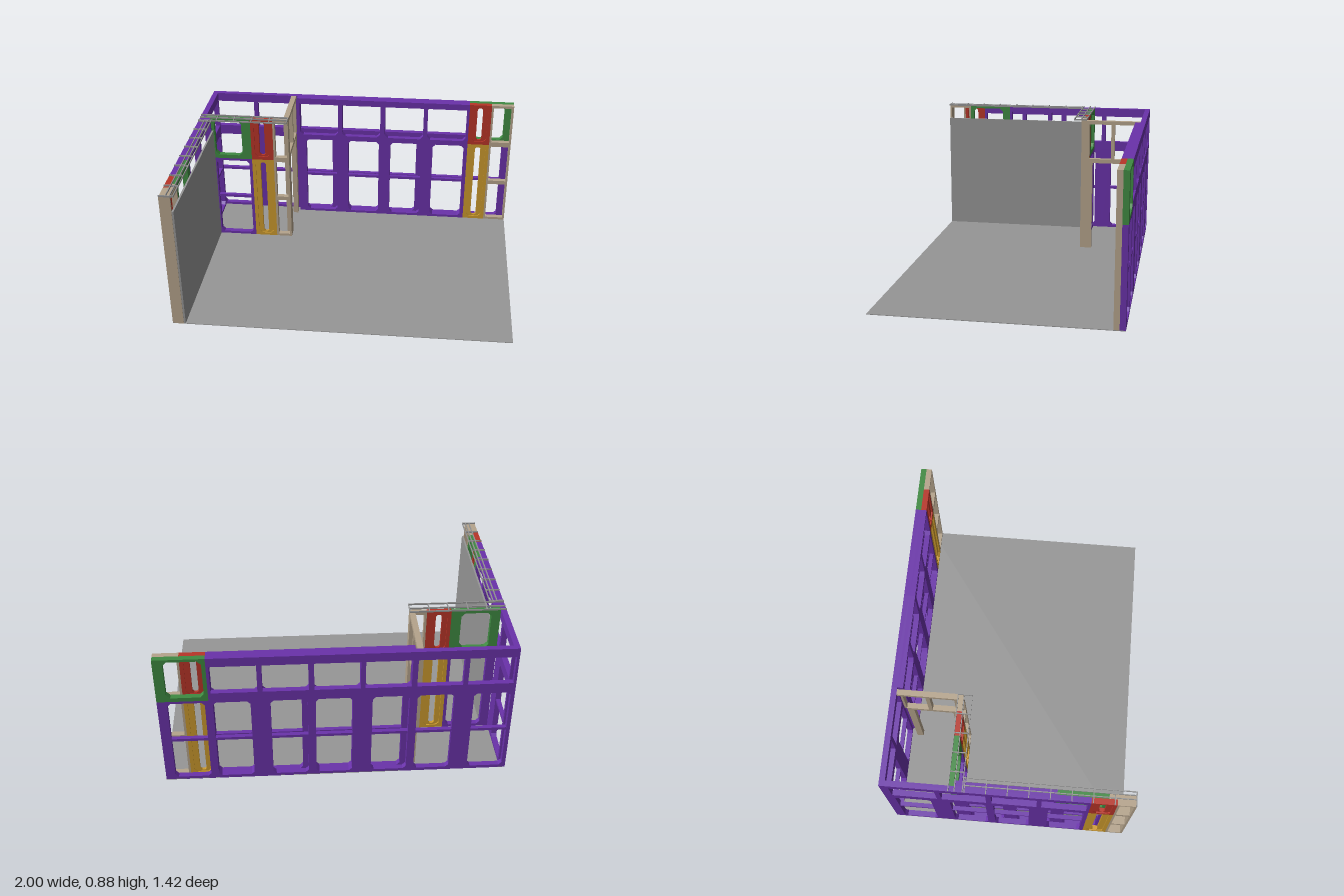
import * as THREE from 'three';

const H = 0.866, M = 0.58, T = 0.033, BAY = 2 / 7, HALF = BAY / 2;

const mat = (name, color) => {
  const m = new THREE.MeshStandardMaterial({ color });
  m.name = name;
  return m;
};

export function createModel() {
  const purple = mat('purple', 0x6a32aa), green = mat('green', 0x3f8a42), red = mat('red', 0xb83528);
  const yellow = mat('yellow', 0xcc9a2e), tan = mat('tan', 0xb5a48c), grey = mat('grey', 0x969696);
  const model = new THREE.Group();
  model.name = 'framedRoom';

  const box = (parent, name, m, x0, x1, y0, y1, z0, z1) => {
    const mesh = new THREE.Mesh(new THREE.BoxGeometry(x1 - x0, y1 - y0, z1 - z0), m);
    mesh.position.set((x0 + x1) / 2, (y0 + y1) / 2, (z0 + z1) / 2);
    mesh.name = name;
    parent.add(mesh);
  };

  // Rectangle with cut corners, as a shape or a hole
  const outline = (Type, x0, x1, y0, y1, c = 0) => {
    const pts = c
      ? [[x0 + c, y0], [x1 - c, y0], [x1, y0 + c], [x1, y1 - c], [x1 - c, y1], [x0 + c, y1], [x0, y1 - c], [x0, y0 + c]]
      : [[x0, y0], [x1, y0], [x1, y1], [x0, y1]];
    return new Type(pts.map(p => new THREE.Vector2(...p)));
  };

  // Plate spanning x0..x1, y0..y1; holes are [x0, x1, y0, y1, corner], x relative to the plate
  const plate = (parent, name, m, x0, x1, y0, y1, holes, z = 0, depth = T) => {
    const s = outline(THREE.Shape, x0, x1, y0, y1);
    for (const [a, b, c, d, r] of holes) s.holes.push(outline(THREE.Path, x0 + a, x0 + b, c, d, r));
    const mesh = new THREE.Mesh(new THREE.ExtrudeGeometry(s, { depth, bevelEnabled: false }), m);
    mesh.position.z = z;
    mesh.name = name;
    parent.add(mesh);
  };

  // Lower cassette, one bay wide, with a tall opening and a cross bar
  const lowerBay = (p, x, a = 0.055, b = 0.263, w = BAY) => {
    plate(p, 'lowerPanel', purple, x, x + w, 0, M, [[a, b, 0.02, 0.565, 0.018]]);
    box(p, 'lowerCrossBar', purple, x + a, x + b, 0.288, 0.305, 0.004, T - 0.004);
  };

  // Upper cassette, two bays wide, with paired openings
  const upperPair = (p, x, outer) => {
    const [y0, y1, r] = outer ? [0.63, 0.81, 0] : [0.6, 0.85, 0.022];
    plate(p, 'upperPanel', purple, x, x + 2 * BAY, M, H,
      [[0.015, 0.272, y0, y1, r], [0.299, 0.556, y0, y1, r]]);
  };

  const upperSingle = (p, x, a, b, w = BAY) =>
    plate(p, 'upperEndPanel', green, x, x + w, M, H, [[a, b, 0.605, 0.85, 0.022]]);

  // Half-width infill: narrow slot with a recess on both faces
  const halfBay = (p, x) => {
    for (const [name, m, y0, y1] of [['lowerInfill', yellow, 0, M], ['upperInfill', red, M, H]]) {
      const wide = [[0.022, 0.121, y0 + 0.022, y1 - 0.018, 0.02]];
      const slot = [[0.052, 0.088, y0 + 0.03, y1 - 0.025, 0.01]];
      plate(p, name + 'Rim', m, x, x + HALF, y0, y1, wide, 0, 0.008);
      plate(p, name, m, x, x + HALF, y0, y1, slot, 0.008, T - 0.016);
      plate(p, name + 'Rim', m, x, x + HALF, y0, y1, wide, T - 0.008, 0.008);
    }
  };

  // Timber stud frame with three openings
  const studFrame = (p, x0, x1) => {
    const w = x1 - x0, e = 0.013;
    plate(p, 'studFrame', tan, x0, x1, 0, H,
      [[e, w - e, 0.02, 0.283], [e, w - e, 0.309, 0.568], [e, w - e, 0.6, 0.85]]);
  };

  const layer = (name, x, z, turned) => {
    const g = new THREE.Group();
    g.name = name;
    g.position.set(x, 0, z);
    if (turned) g.rotation.y = -Math.PI / 2; // local x runs along world z
    model.add(g);
    return g;
  };

  // Outer layers mirror the openings of neighbouring bays
  const outerBays = (p, start, count) => {
    for (let i = 0; i < count; i++) {
      if (i % 2) lowerBay(p, start + i * BAY);
      else lowerBay(p, start + i * BAY, 0.022, 0.23);
    }
    for (let i = 0; i + 1 < count; i += 2) upperPair(p, start + i * BAY, true);
  };

  // Floor
  box(model, 'floor', grey, -1, 1, 0, 0.004, -0.712, 0.712);

  // Back wall
  const backOuter = layer('backWallOuter', 0, -0.712);
  outerBays(backOuter, -1, 7);
  upperSingle(backOuter, 1 - BAY, 0.022, 0.23);

  const backInner = layer('backWallInner', 0, -0.712 + T);
  const bx = 1 - 5 * BAY;
  for (let i = 0; i < 4; i++) lowerBay(backInner, bx + i * BAY);
  for (let i = 0; i < 2; i++) upperPair(backInner, bx + i * 2 * BAY, false);
  halfBay(backInner, 1 - BAY);
  studFrame(backInner, 1 - HALF, 1);

  // Side wall
  const sideOuter = layer('sideWallOuter', -1 + T, 0, true);
  const so = -0.712 + T;
  outerBays(sideOuter, so, 4);
  halfBay(sideOuter, so + 4 * BAY);
  studFrame(sideOuter, so + 4 * BAY + HALF, 0.712);

  const sideInner = layer('sideWallInner', -1 + 2 * T, 0, true);
  const si = -0.297;
  for (let i = 0; i < 3; i++) lowerBay(sideInner, si + i * BAY);
  upperPair(sideInner, si, false);
  upperSingle(sideInner, si + 2 * BAY, 0.05, 0.263);
  studFrame(sideInner, si + 3 * BAY, 0.712);
  // Solid end post and lining board
  box(model, 'endPost', tan, -1, -1 + 2 * T, 0, H, 0.7, 0.712);
  box(model, 'liningBoard', grey, -0.933, -0.922, 0, 0.775, -0.297, 0.712);

  // Cross wall
  const cross = layer('crossWall', 0, -0.297 - T);
  lowerBay(cross, -1 + T, 0.052, 0.267);
  upperSingle(cross, -1 + T, 0.052, 0.227);
  halfBay(cross, -1 + T + BAY);
  studFrame(cross, -1 + T + BAY + HALF, -0.438);

  // Doorway partition joining the cross wall and back wall
  const px0 = -0.438 - T, px1 = -0.438, zf = -0.297 - T, zb = -0.712 + 2 * T;
  const door = layer('doorPartition', 0, 0);
  const bar = (name, y0, y1, z0, z1) => box(door, name, tan, px0, px1, y0, y1, z0, z1);
  bar('doorPost', 0, M + 0.006, zf - 0.041, zf);
  bar('doorPost', 0, M + 0.006, zb, zb + 0.04);
  bar('doorHeader', 0.586, 0.613, zb, zf);
  bar('topRail', 0.843, H, zb - T, zf);
  bar('upperStud', 0.613, 0.843, zf - 0.02, zf);
  bar('upperStud', 0.613, 0.843, -0.515, -0.492);
  bar('upperStud', 0.613, 0.843, zb - T + 0.02, zb);

  // Thin open grid lying on top of the side and cross walls
  const grid = layer('topGrid', 0, 0);
  const wire = (x0, x1, z0, z1) => box(grid, 'gridBar', grey, x0, x1, H, H + 0.01, z0, z1);
  const g = 0.005;
  for (const x of [-0.958, -0.935, -0.915]) wire(x - g, x, -0.246, 0.712);
  for (let i = 0; i < 8; i++) wire(-1, -0.915, -0.24 + i * 0.1185, -0.24 + i * 0.1185 + g);
  wire(-1, -0.915, 0.712 - g, 0.712);
  for (const z of [-0.33, -0.295, -0.25]) wire(-1, -0.438, z, z + g);
  for (const x of [-0.89, -0.78, -0.668, -0.556, -0.443]) wire(x, x + g, -0.33, -0.246);
  return model;
}
